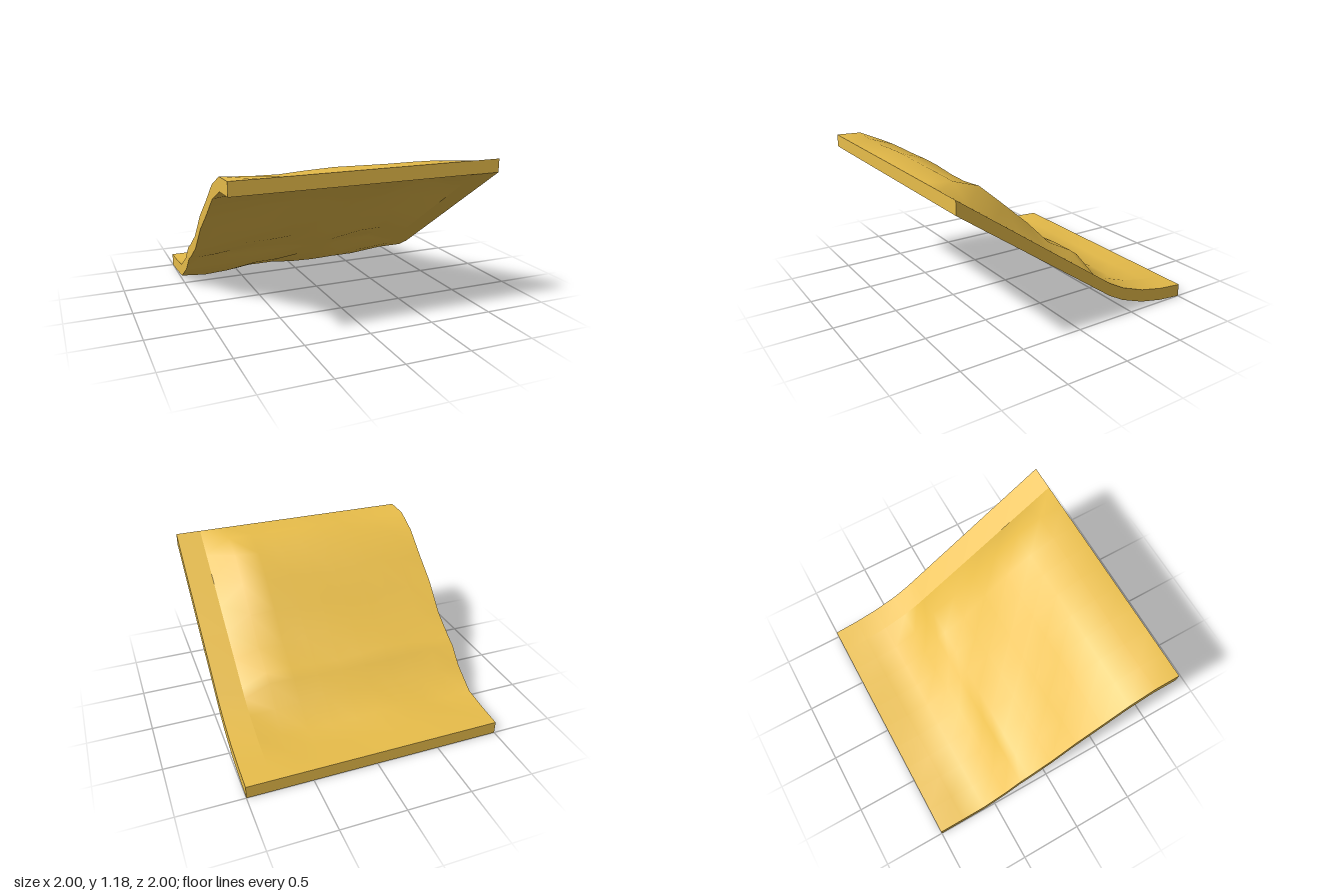
import * as THREE from 'three';

const THICK = 0.1;
const material = new THREE.MeshStandardMaterial({ color: 0xe8bd4a });

// Row positions from front to back, with the straight edge and the rounded ground profile
const rows = [1, 0.8, 0.6, 0.4, 0.2, 0, -0.2, -0.27, -0.4, -0.6, -0.8, -1];
const straight = [1.18, 1.041, 0.903, 0.764, 0.625, 0.487, 0.348, 0.3, 0.23, 0.16, 0.12, 0.1];
const rounded = [1.18, 1.165, 1.09, 0.92, 0.745, 0.56, 0.435, 0.375, 0.25, 0.133, 0.112, 0.1];
const rough = [0, 0.012, 0.018, 0.015, 0.018, 0.02, 0.022, 0.02, 0.022, 0.022, 0.006, 0];

const columns = Array.from({ length: 10 }, (_, i) => -1 + i * 0.2);

// Height of the upper surface at a column x and row index
function height(x, j) {
  if (x > 0.79) return straight[j];
  const wobble = 0.6 * Math.sin(x * 5.3 + j * 1.7) + 0.4 * Math.sin(x * 8.1 - j * 2.3);
  return rounded[j] + rough[j] * wobble;
}

// Surface through a grid of points, points[i][j]
function sheet(points, flip) {
  const n = points[0].length;
  const index = [];
  for (let i = 0; i < points.length - 1; i++) {
    for (let j = 0; j < n - 1; j++) {
      const a = i * n + j, b = a + n, c = b + 1, d = a + 1;
      if (flip) index.push(a, d, b, b, d, c);
      else index.push(a, b, d, b, c, d);
    }
  }
  const geometry = new THREE.BufferGeometry();
  geometry.setAttribute('position', new THREE.Float32BufferAttribute(points.flat(2), 3));
  geometry.setIndex(index);
  geometry.computeVertexNormals();
  return geometry;
}

const grid = (xs, drop) => xs.map(x => rows.map((z, j) => [x, height(x, j) - drop, z]));

export function createModel() {
  const group = new THREE.Group();
  group.name = 'slopeTile';
  const add = (name, geometry) => {
    const mesh = new THREE.Mesh(geometry, material);
    mesh.name = name;
    group.add(mesh);
  };

  // Rolling ground and the straight strip along one side, upper and under faces
  for (const [name, xs] of [['rollingGround', columns], ['straightStrip', [0.8, 1]]]) {
    add(name + 'Top', sheet(grid(xs, 0), false));
    add(name + 'Underside', sheet(grid(xs, THICK), true));
  }

  // Thin walls closing the four edges
  const all = [...columns, 1];
  const wall = (name, points, flip) =>
    add(name, sheet([points, points.map(([x, y, z]) => [x, y - THICK, z])], flip));
  const side = x => rows.map((z, j) => [x, height(x, j), z]);
  const end = j => all.map(x => [x, height(x, j), rows[j]]);
  wall('leftEdge', side(1), false);
  wall('rightEdge', side(-1), true);
  wall('frontEdge', end(0), false);
  wall('backEdge', end(rows.length - 1), true);
  return group;
}
